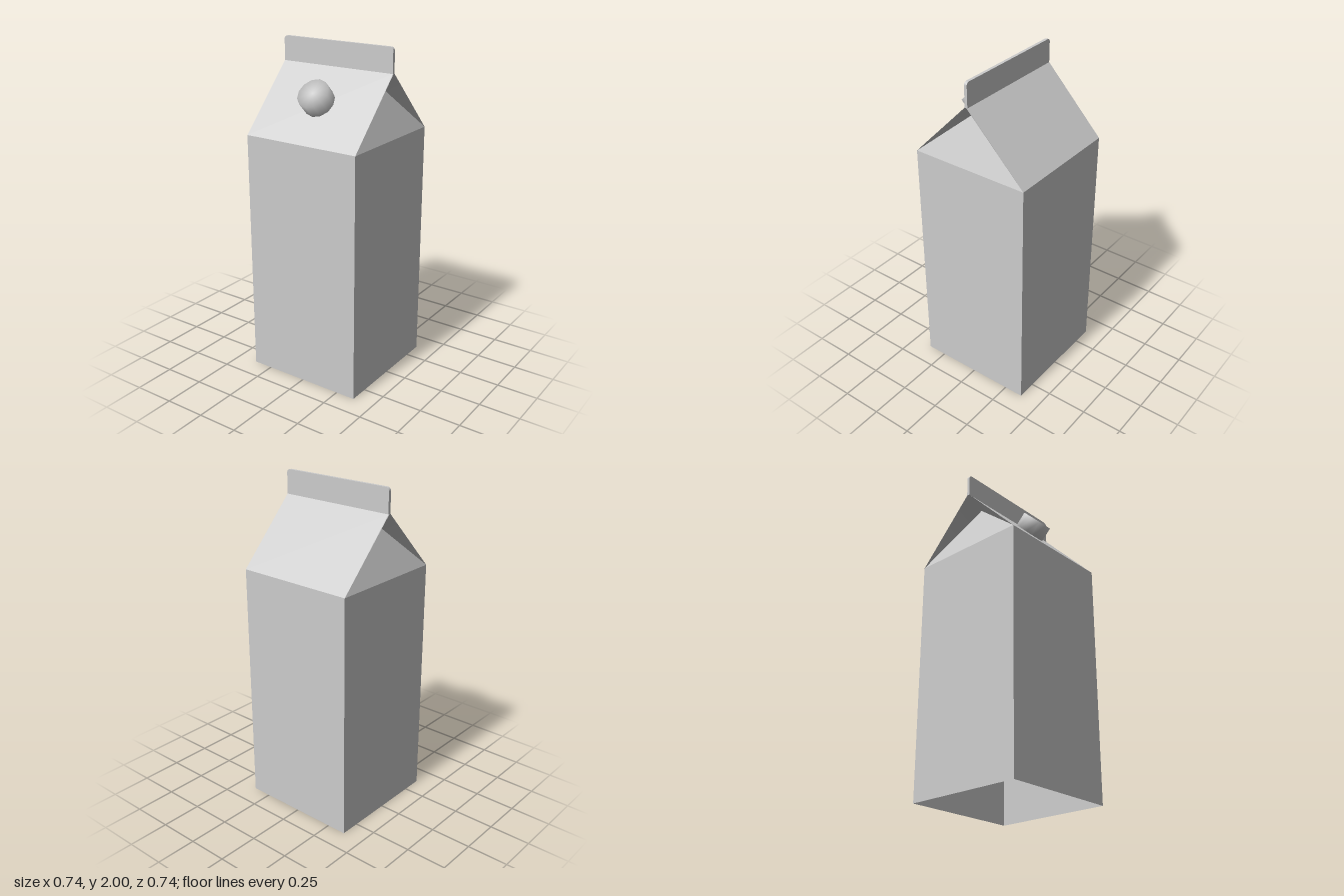
import * as THREE from 'three';
import { mergeVertices } from 'three/addons/utils/BufferGeometryUtils.js';

const H = 0.37;        // half width of the body
const SHOULDER = 1.48; // top of the walls
const RIDGE = 1.855;   // top of the gable
const TOP = 2;         // top of the sealed fin
const FIN = 0.009;     // half thickness of the fin

const paper = new THREE.MeshStandardMaterial({ color: 0xcccccc, side: THREE.DoubleSide });

// Panel from corner points listed anticlockwise from outside
function panel(name, points, index) {
  const g = new THREE.BufferGeometry();
  g.setAttribute('position', new THREE.Float32BufferAttribute(points.flat(), 3));
  g.setIndex(index);
  g.computeVertexNormals();
  const mesh = new THREE.Mesh(g, paper);
  mesh.name = name;
  return mesh;
}

const QUAD = [0, 1, 2, 0, 2, 3];

function createFin() {
  // Flat sealed strip with rounded upper corners
  const r = 0.02;
  const s = new THREE.Shape();
  s.moveTo(-H, RIDGE);
  s.lineTo(H, RIDGE);
  s.lineTo(H, TOP - r);
  s.absarc(H - r, TOP - r, r, 0, Math.PI / 2);
  s.absarc(-H + r, TOP - r, r, Math.PI / 2, Math.PI);
  s.closePath();
  const g = new THREE.ExtrudeGeometry(s, { depth: 2 * FIN, bevelEnabled: false, curveSegments: 5 });
  g.translate(0, 0, -FIN);
  const fin = new THREE.Mesh(g, paper);
  fin.name = 'topFin';
  return fin;
}

function createCap() {
  // Twelve-sided screw cap with softened shading, square to the front slope
  let g = new THREE.CylinderGeometry(0.095, 0.095, 0.1, 12);
  g.deleteAttribute('normal');
  g.deleteAttribute('uv');
  g = mergeVertices(g);
  g.computeVertexNormals();
  const cap = new THREE.Mesh(g, paper);
  cap.name = 'cap';
  cap.position.set(0, 1.709, 0.205);
  cap.rotation.x = Math.PI / 4;
  return cap;
}

export function createModel() {
  const carton = new THREE.Group();
  carton.name = 'carton';

  // Front and back: wall and sloping roof (the bottom is open)
  for (const [side, turn] of [['front', 0], ['back', Math.PI]]) {
    const half = new THREE.Group();
    half.name = side;
    half.rotation.y = turn;
    half.add(
      panel(side + 'Wall', [[-H, 0, H], [H, 0, H], [H, SHOULDER, H], [-H, SHOULDER, H]], QUAD),
      panel(side + 'Roof', [[-H, SHOULDER, H], [H, SHOULDER, H], [H, RIDGE, FIN], [-H, RIDGE, FIN]], QUAD),
    );
    carton.add(half);
  }

  // Left and right: wall, tucked-in triangle and the folds under the roof
  const tuck = [H - 0.12, 1.8, 0];
  const frontCorner = [H, SHOULDER, H];
  const backCorner = [H, SHOULDER, -H];
  for (const [side, turn] of [['left', 0], ['right', Math.PI]]) {
    const half = new THREE.Group();
    half.name = side;
    half.rotation.y = turn;
    half.add(
      panel(side + 'Wall', [[H, 0, H], [H, 0, -H], backCorner, frontCorner], QUAD),
      panel(side + 'Gable', [frontCorner, backCorner, tuck], [0, 1, 2]),
      panel(side + 'Fold', [frontCorner, tuck, backCorner, [H, RIDGE, 0]], [0, 1, 3, 1, 2, 3]),
    );
    carton.add(half);
  }

  carton.add(createFin(), createCap());
  return carton;
}
